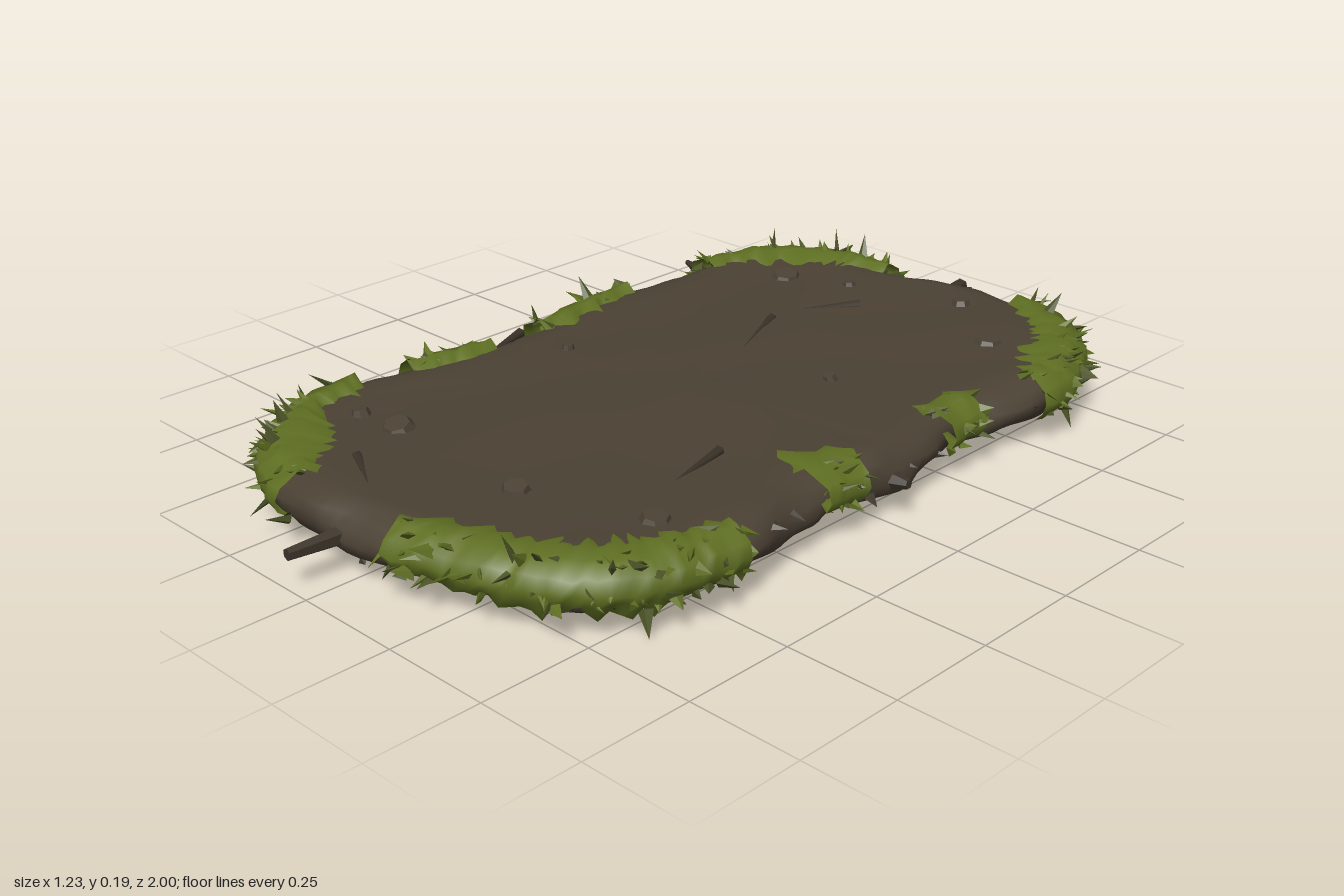
import * as THREE from 'three';
import { mergeGeometries } from 'three/addons/utils/BufferGeometryUtils.js';

// Outline of the slab as x, z pairs, starting at the back
const OUTLINE = [
  [0, -.91], [.13, -.94], [.3, -.91], [.45, -.82], [.53, -.7], [.57, -.58], [.55, -.42], [.53, -.3], [.55, -.15],
  [.57, -.02], [.54, .1], [.55, .22], [.58, .36], [.57, .5], [.55, .62], [.47, .74], [.34, .81], [.18, .86],
  [.02, .89], [-.15, .9], [-.3, .86], [-.42, .77], [-.5, .64], [-.53, .5], [-.51, .36], [-.49, .24], [-.47, .1],
  [-.48, -.02], [-.51, -.2], [-.51, -.4], [-.5, -.55], [-.47, -.7], [-.38, -.82], [-.25, -.88], [-.12, -.88],
];
const N = OUTLINE.length;
const curve = new THREE.CatmullRomCurve3(OUTLINE.map(([x, z]) => new THREE.Vector3(x, 0, z)), true);

// Point and outward direction on the outline, s counted in outline points
function rim(s) {
  const t = (((s / N) % 1) + 1) % 1;
  const p = curve.getPoint(t);
  const d = curve.getTangent(t);
  return { p, n: new THREE.Vector3(d.z, 0, -d.x).normalize() };
}

let seed = 7;
function rand(a = 0, b = 1) {
  seed = (seed * 16807) % 2147483647;
  return a + (b - a) * (seed / 2147483647);
}

// Indexed grid surface from at(i, j); i runs along the rim, j up the section
function grid(cols, rows, closed, at) {
  const pos = [], idx = [];
  const used = closed ? cols : cols + 1;
  for (let i = 0; i < used; i++) for (let j = 0; j <= rows; j++) pos.push(...at(i, j).toArray());
  for (let i = 0; i < cols; i++) for (let j = 0; j < rows; j++) {
    const a = i * (rows + 1) + j, b = ((i + 1) % used) * (rows + 1) + j;
    idx.push(a, a + 1, b, b, a + 1, b + 1);
  }
  const g = new THREE.BufferGeometry();
  g.setAttribute('position', new THREE.Float32BufferAttribute(pos, 3));
  g.setIndex(idx);
  g.computeVertexNormals();
  return g;
}

// Pointed blade from base along dir, faceted
function blade(base, dir, length, width) {
  let g = new THREE.ConeGeometry(width, length, 4, 1);
  g.translate(0, length / 2, 0);
  g.scale(1, 1, .45);
  g.rotateY(rand(0, Math.PI));
  g.applyQuaternion(new THREE.Quaternion().setFromUnitVectors(new THREE.Vector3(0, 1, 0), dir.clone().normalize()));
  g.translate(base.x, base.y, base.z);
  g = g.toNonIndexed();
  g.computeVertexNormals();
  return g;
}

export function createModel() {
  const group = new THREE.Group();
  const material = (name, color, side = THREE.FrontSide) => {
    const m = new THREE.MeshStandardMaterial({ color, side });
    m.name = name;
    return m;
  };
  const earth = material('brown earth', 0x4b4134);
  const bark = material('dark bark', 0x3c342a);
  const moss = material('green moss', 0x5f6f22, THREE.DoubleSide);
  const tuftGreen = material('dull green tuft', 0x4d5528, THREE.DoubleSide);
  const add = (name, geometry, mat) => {
    const mesh = new THREE.Mesh(geometry, mat);
    mesh.name = name;
    group.add(mesh);
    return mesh;
  };

  // Slab: inset from the rim, height, and share of the way to the middle
  const section = [
    [.12, .03, 1], [.12, .03, .5], [.1, .033, 0], [.045, .04, 0], [.012, .055, 0], [0, .078, 0], [.002, .1, 0],
    [.018, .122, 0], [.045, .137, 0], [.08, .144, 0], [.12, .139, 0], [.12, .136, .3], [.12, .139, .55],
    [.12, .137, .8], [.12, .138, 1],
  ];
  add('slab', grid(175, section.length - 1, true, (i, j) => {
    const s = i / 5, [inset, y, mid] = section[j];
    const { p, n } = rim(s);
    const q = p.clone().addScaledVector(n, -inset);
    q.x *= 1 - mid;
    q.z *= 1 - mid;
    const edge = mid ? 0 : Math.sin(s * 2.69 + j * .9) * .007 + Math.sin(s * 5.92 - j * 1.3) * .004;
    q.addScaledVector(n, edge);
    q.y = y + (mid < 1 ? .004 * Math.sin(q.x * 13 + j) * Math.cos(q.z * 9) : 0);
    return q;
  }), earth);

  // Moss draped over the rim, with ragged edges and blades: start, end, reach inward, drop
  const patches = [
    [12.5, 17.5, .1, .05], [19.3, 22.1, .1, .06], [21.9, 23, .07, .07], [24, 25.6, .05, .07], [26.7, 28.5, .05, .07],
    [30.1, 34, .09, .05], [1.7, 5.4, .09, .06], [6.6, 7.5, .07, .09], [9.6, 10.6, .12, .1],
  ];
  patches.forEach(([s0, s1, reach, low], k) => {
    const cols = Math.round((s1 - s0) * 7);
    add('mossPatch' + (k + 1), grid(cols, 6, false, (i, j) => {
      const f = i / cols, { p, n } = rim(s0 + (s1 - s0) * f);
      const full = Math.pow(Math.sin(Math.PI * (.06 + .88 * f)), .5);
      const ragged = j === 0 || j === 6 ? rand(-.022, .022) : rand(-.006, .006);
      const [out, y] = [
        [-.004, low + .02 * (1 - full) + ragged], [.018, .078], [.026, .1], [.017, .13],
        [-.02, .15], [-.02 - reach * .45 * full, .156], [-.03 - reach * .9 * full + ragged, .139],
      ][j];
      const v = p.clone().addScaledVector(n, out + (j ? rand(-.005, .005) : 0));
      v.y = y + (j > 0 && j < 6 ? rand(-.004, .006) : 0);
      return v;
    }), moss);

    // Blades in two greens
    const sets = [[], []];
    const count = Math.round((s1 - s0) * 15);
    for (let i = 0; i < count; i++) {
      const { p, n } = rim(s0 + (s1 - s0) * rand(-.02, 1.02));
      const upper = rand() < .4;
      const base = p.clone().addScaledVector(n, upper ? rand(-.06, 0) : rand(-.005, .015));
      base.y = upper ? .14 : rand(.065, .13);
      const side = rand(-.9, .9);
      const dir = new THREE.Vector3(n.x - n.z * side, upper ? rand(.2, .9) : rand(-.4, .5), n.z + n.x * side);
      sets[rand() < .65 ? 0 : 1].push(blade(base, dir, rand(.025, .058), rand(.01, .02)));
    }
    sets.forEach((list, c) => list.length &&
      add((c ? 'dullBlades' : 'mossBlades') + (k + 1), mergeGeometries(list), c ? tuftGreen : moss));
  });

  // Tall blades standing above the rim, and a few hanging to the ground
  const tall = [20.5, 21.2, 21.5, 15.9, 31.5, 32.7, 33.3, 2.3, 27.9].map(s => {
    const { p, n } = rim(s);
    const base = p.clone().addScaledVector(n, -.02).setY(.14);
    return blade(base, new THREE.Vector3(n.x * .5 + rand(-.4, .4), 1, n.z * .5), rand(.055, .07), .016);
  });
  const hanging = [14.2, 22.2, 30.4, 4.6].map(s => {
    const { p, n } = rim(s);
    return blade(p.clone().setY(.055), new THREE.Vector3(n.x * .4, -1, n.z * .4), .056, .016);
  });
  add('tallBlades', mergeGeometries([...tall, ...hanging]), tuftGreen);

  // Bare splinters around the rim
  const splinters = [];
  for (let i = 0; i < 44; i++) {
    const { p, n } = rim(i * N / 44 + rand(-.3, .3));
    p.addScaledVector(n, -.012).setY(rand(.05, .12));
    splinters.push(blade(p, new THREE.Vector3(n.x + rand(-.8, .8), rand(-.2, .3), n.z + rand(-.8, .8)), rand(.02, .04), .012));
  }
  add('splinters', mergeGeometries(splinters), bark);

  // Broken knots on top: x, z, radius
  [[-.27, -.64, .038], [.34, -.64, .036], [.15, -.79, .026], [-.12, -.7, .02], [.22, -.23, .018], [-.25, .58, .038],
    [.14, .6, .032], [.42, .5, .034], [-.31, .05, .016], [-.36, .59, .022]].forEach(([x, z, r], i) => {
    const knot = add('knot' + (i + 1), new THREE.CylinderGeometry(r * .75, r, .016, 7).toNonIndexed(), earth);
    knot.geometry.computeVertexNormals();
    knot.position.set(x, .141, z);
    knot.rotation.set(.12, i, -.15);
  });

  // Low ridges on top: from x, z to x, z
  [[-.11, -.41, -.02, -.2], [-.46, .06, -.4, .24], [-.02, -.62, -.1, -.5], [.3, .2, .33, .36], [-.2, .72, -.05, .8]]
    .forEach(([x0, z0, x1, z1], i) => {
      const ridge = add('ridge' + (i + 1), new THREE.ConeGeometry(.012, Math.hypot(x1 - x0, z1 - z0), 5), bark);
      ridge.position.set((x0 + x1) / 2, .138, (z0 + z1) / 2);
      ridge.quaternion.setFromUnitVectors(new THREE.Vector3(0, 1, 0), new THREE.Vector3(x1 - x0, 0, z1 - z0).normalize());
    });

  // Broken twigs on the front, back and left edges: start, end, radii
  [[[-.04, .08, .85], [-.05, .08, 1], .022, .013], [[.03, .09, -.88], [0, .09, -.995], .028, .018],
    [[.02, .09, -.9], [.05, .1, -.97], .02, .006], [[.53, .08, -.03], [.6, .085, -.03], .03, .01],
    [[-.5, .09, -.6], [-.6, .095, -.63], .02, .006]].forEach(([a, b, r0, r1], i) => {
    const from = new THREE.Vector3(...a), to = new THREE.Vector3(...b);
    const twig = add('twig' + (i + 1), new THREE.CylinderGeometry(r1, r0, from.distanceTo(to), 6).toNonIndexed(), bark);
    twig.geometry.computeVertexNormals();
    twig.position.copy(from).lerp(to, .5);
    twig.quaternion.setFromUnitVectors(new THREE.Vector3(0, 1, 0), to.sub(from).normalize());
  });

  return group;
}
